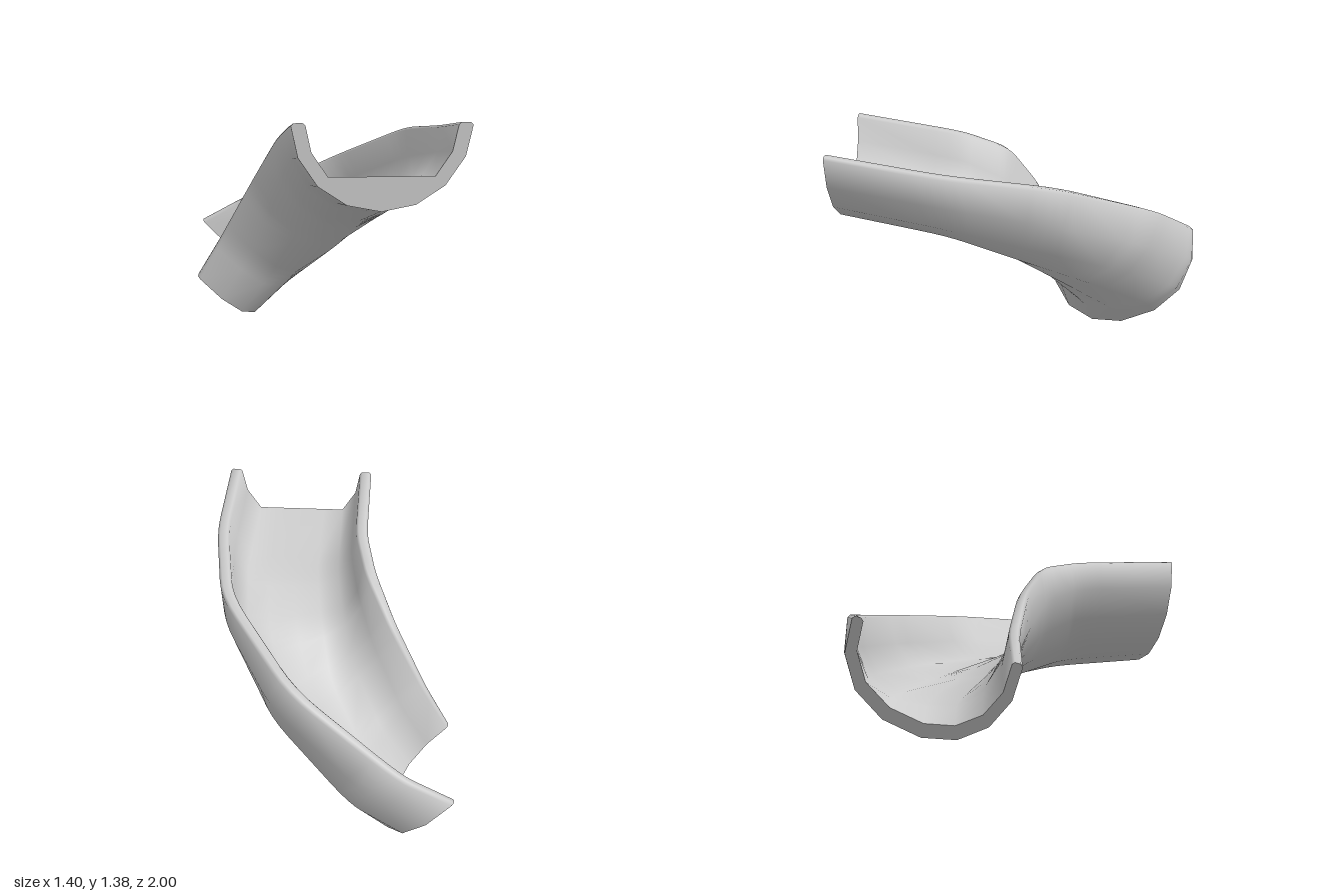
import * as THREE from 'three';
import { toCreasedNormals } from 'three/addons/utils/BufferGeometryUtils.js';

const V = (x, y, z) => new THREE.Vector3(x, y, z);

// Stations along the chute: left rim, right rim, underside
const STATIONS = [
  [V(0.697, 1.38, 1), V(-0.183, 1.38, 1), V(0.257, 0.943, 1)],
  [V(0.697, 1.283, 0.4), V(-0.183, 1.283, 0.4), V(0.255, 0.83, 0.42)],
  [V(0.59, 1.195, -0.2), V(-0.245, 1.175, 0.15), V(0.22, 0.665, 0.09)],
  [V(0.175, 0.94, -0.72), V(-0.38, 0.91, 0.01), V(0.16, 0.49, -0.19)],
  [V(-0.42, 0.62, -0.995), V(-0.56, 0.56, -0.09), V(-0.1, 0.2, -0.5)],
  [V(-0.7, 0.475, -0.99), V(-0.7, 0.31, -0.112), V(-0.338, 0.003, -0.56)],
];

// Stations with each bend rounded by a short quadratic arc
function roundedStations() {
  const out = [{ s: STATIONS[0], t: 0 }];
  const last = STATIONS.length - 1;
  for (let i = 1; i < last; i++) {
    for (let k = 0; k <= 4; k++) {
      const q = k / 4;
      const s = STATIONS[i].map((p, c) => {
        const a = p.clone().lerp(STATIONS[i - 1][c], 0.23);
        const b = p.clone().lerp(STATIONS[i + 1][c], 0.23);
        return new THREE.QuadraticBezierCurve3(a, p, b).getPoint(q);
      });
      out.push({ s, t: (i + (q - 0.5) * 0.46) / last });
    }
  }
  out.push({ s: STATIONS[last], t: 1 });
  return out;
}

// Half-round section (u across, v down) from the left rim to the right rim;
// the walls bulge and thin towards the low end, mostly outside the bend
function section(t) {
  const wall = 0.84 + 0.03 * t;
  const outer = [[0.97, 0]], inner = [[wall + 0.03, 0]];
  const floor = THREE.MathUtils.lerp(0.6, 0.86, t);
  for (let j = 0; j <= 8; j++) {
    const a = (j / 8) * Math.PI;
    const bulge = j < 4 ? 0.27 : 0.1;
    const c = Math.cos(a) * (1 + bulge * t * Math.sin(a));
    const v = Math.max(Math.sin(a), 0.03);
    outer.push([c, v]);
    inner.push([c * wall, Math.min(v * 0.85, floor)]);
  }
  outer.push([-0.97, 0]);
  inner.push([-wall - 0.03, 0]);
  return [...outer, ...inner.reverse()];
}

function chuteGeometry() {
  const positions = [], index = [];
  const rings = roundedStations();
  const n = section(0).length, half = n / 2;
  for (const { s: [left, right, bottom], t } of rings) {
    const mid = left.clone().add(right).multiplyScalar(0.5);
    const across = left.clone().sub(mid), down = bottom.clone().sub(mid);
    for (const [u, v] of section(t)) {
      const p = mid.clone().addScaledVector(across, u).addScaledVector(down, v);
      positions.push(p.x, p.y, p.z);
    }
  }
  const quad = (a, b, c, d) => index.push(a, b, c, a, c, d);

  // Inner, outer and rim skins
  for (let i = 0; i < rings.length - 1; i++) {
    for (let j = 0; j < n; j++) {
      const k = (j + 1) % n;
      quad(i * n + j, i * n + k, (i + 1) * n + k, (i + 1) * n + j);
    }
  }
  // End faces
  const e = (rings.length - 1) * n;
  for (let j = 0; j < half - 1; j++) {
    const a = j, b = j + 1, ia = n - 1 - j, ib = n - 2 - j;
    quad(a, ia, ib, b);
    quad(e + a, e + b, e + ib, e + ia);
  }
  const g = new THREE.BufferGeometry();
  g.setAttribute('position', new THREE.Float32BufferAttribute(positions, 3));
  g.setIndex(index);
  return toCreasedNormals(g, 1.12);
}

export function createModel() {
  const group = new THREE.Group();
  group.name = 'curvedChute';
  const chute = new THREE.Mesh(
    chuteGeometry(),
    new THREE.MeshStandardMaterial({ color: 0xcccccc, side: THREE.DoubleSide })
  );
  chute.name = 'chuteTrough';
  group.add(chute);
  return group;
}
